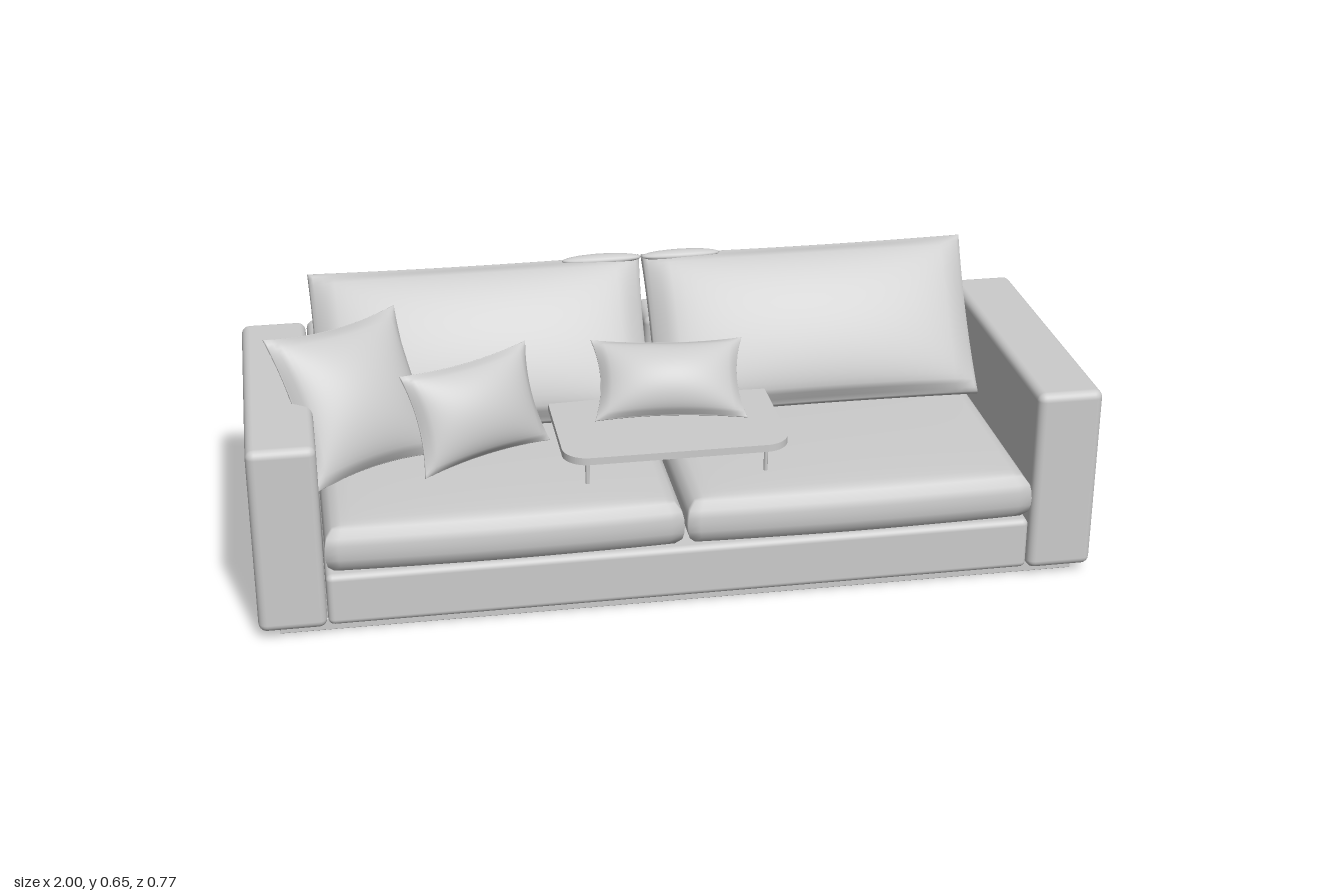
import * as THREE from 'three';
import { RoundedBoxGeometry } from 'three/addons/geometries/RoundedBoxGeometry.js';
import { mergeVertices } from 'three/addons/utils/BufferGeometryUtils.js';

const V = (x, y, z) => new THREE.Vector3(x, y, z);

export function createModel() {
  const model = new THREE.Group();
  model.name = 'sofa';
  const fabric = new THREE.MeshStandardMaterial({ color: 0xcccccc });
  fabric.name = 'light grey';

  function add(name, geometry, x = 0, y = 0, z = 0) {
    const mesh = new THREE.Mesh(geometry, fabric);
    mesh.name = name;
    mesh.position.set(x, y, z);
    model.add(mesh);
    return mesh;
  }

  // Rounded block given by its limits on each axis
  function block(name, [x0, x1], [y0, y1], [z0, z1], r = 0.015) {
    const g = new RoundedBoxGeometry(x1 - x0, y1 - y0, z1 - z0, 3, r);
    return add(name, g, (x0 + x1) / 2, (y0 + y1) / 2, (z0 + z1) / 2);
  }

  // Soft cushion spanning from its lower edge to its upper edge.
  // edge: half thickness at the seam, puff: extra in the middle,
  // pinch: how far each pair of sides draws in, round: seam rounding
  function cushion(name, low, high, across, width, o) {
    const height = low.distanceTo(high);
    let g = new THREE.BoxGeometry(2, 2, 2, 28, 28, 6);
    g.deleteAttribute('uv');
    g.deleteAttribute('normal');
    const p = g.attributes.position;
    for (let i = 0; i < p.count; i++) {
      const u = p.getX(i), v = p.getY(i), w = p.getZ(i);
      const inset = o.round * (1 - Math.sqrt(Math.max(0, 1 - w * w)));
      const dome = Math.pow(Math.max(0, (1 - u * u) * (1 - v * v)), o.power);
      p.setXYZ(i,
        u * width / 2 * (1 - o.pinch[0] * (1 - v * v)) - Math.sign(u) * Math.abs(u) ** 8 * inset,
        v * height / 2 * (1 - o.pinch[1] * (1 - u * u)) - Math.sign(v) * Math.abs(v) ** 8 * inset,
        w * (o.edge + o.puff * dome));
    }
    g = mergeVertices(g, 1e-5);
    g.computeVertexNormals();
    const up = high.clone().sub(low).normalize();
    const normal = across.clone().cross(up).normalize();
    const side = up.clone().cross(normal);
    const mesh = add(name, g);
    mesh.quaternion.setFromRotationMatrix(new THREE.Matrix4().makeBasis(side, up, normal));
    mesh.position.copy(low).add(high).multiplyScalar(0.5);
  }

  function rod(name, a, b, r) {
    add(name, new THREE.TubeGeometry(new THREE.LineCurve3(a, b), 1, r, 8));
  }

  // Frame
  block('base', [-0.838, 0.838], [0.025, 0.155], [-0.38, 0.365]);
  for (const z of [0.33, -0.347]) block('footRail', [-0.95, 0.96], [0, 0.03], [z - 0.006, z + 0.006], 0.002);

  for (const s of [-1, 1]) {
    const half = (a, b) => s > 0 ? [a, b] : [-b, -a];
    block(s > 0 ? 'leftArm' : 'rightArm', half(0.84, 0.998), [0.022, 0.484], [-0.385, 0.37], 0.02);
    block('backrestPanel', half(0.003, 0.837), [0.158, 0.489], [-0.384, -0.24], 0.02);

    // Seat cushion lies flat with its front edge bowed forward
    cushion('seatCushion', V(s * 0.42, 0.218, 0.375), V(s * 0.42, 0.218, -0.25), V(1, 0, 0), 0.832,
      { edge: 0.053, puff: 0.018, power: 0.4, pinch: [0, -0.03], round: 0.02 });

    // Back cushion leans on the backrest
    cushion('backCushion', V(s * 0.415, 0.3, -0.06), V(s * 0.415, 0.638, -0.3), V(1, 0, 0), 0.825,
      { edge: 0.022, puff: 0.07, power: 0.5, pinch: [0.015, 0.02], round: 0.012 });

    // Folded flap over the inner top corner of the back cushion
    const flap = add('cushionFlap', new THREE.SphereGeometry(1, 24, 12), s * 0.1, 0.642, -0.275);
    flap.scale.set(0.1, 0.013, 0.02);
  }

  // Throw pillows
  const soft = { edge: 0.003, power: 0.6, pinch: [0.1, 0.1], round: 0.002 };
  cushion('largePillow', V(-0.69, 0.295, 0.13), V(-0.785, 0.615, -0.045), V(0.83, 0.03, -0.56), 0.37,
    { ...soft, puff: 0.075 });
  cushion('mediumPillow', V(-0.435, 0.312, 0.135), V(-0.48, 0.54, 0.05), V(0.3, 0.015, -0.145), 0.345,
    { ...soft, puff: 0.06 });
  cushion('smallPillow', V(0.01, 0.372, 0.115), V(0.02, 0.525, -0.02), V(1, 0, 0), 0.37,
    { ...soft, puff: 0.06 });

  // Side table: rounded square top, posts, crossed struts and floor ring
  const r = 0.06, h = 0.27, top = new THREE.Shape();
  [[1, 1, 0], [-1, 1, 1], [-1, -1, 2], [1, -1, 3]].forEach(([x, y, q]) =>
    top.absarc(x * (h - r), y * (h - r), r, q * Math.PI / 2, (q + 1) * Math.PI / 2));
  const slab = new THREE.ExtrudeGeometry(top, { depth: 0.018, bevelEnabled: false, curveSegments: 10 });
  add('tableTop', slab.rotateX(-Math.PI / 2), 0, 0.348, 0.01);

  for (const x of [-0.23, 0.23]) {
    for (const z of [-0.205, 0.265]) {
      rod('tablePost', V(x * 0.93, 0.012, z * 0.93), V(x * 0.93, 0.35, z * 0.93), 0.005);
      rod('tableStrut', V(x, 0.345, z * 0.93), V(0, 0.305, 0.02), 0.008);
      rod('floorSpoke', V(x, 0.012, z), V(0.01, 0.012, 0.02), 0.006);
    }
  }
  add('floorRing', new THREE.TorusGeometry(0.268, 0.005, 8, 64).rotateX(Math.PI / 2), 0, 0.007, 0);

  return model;
}
